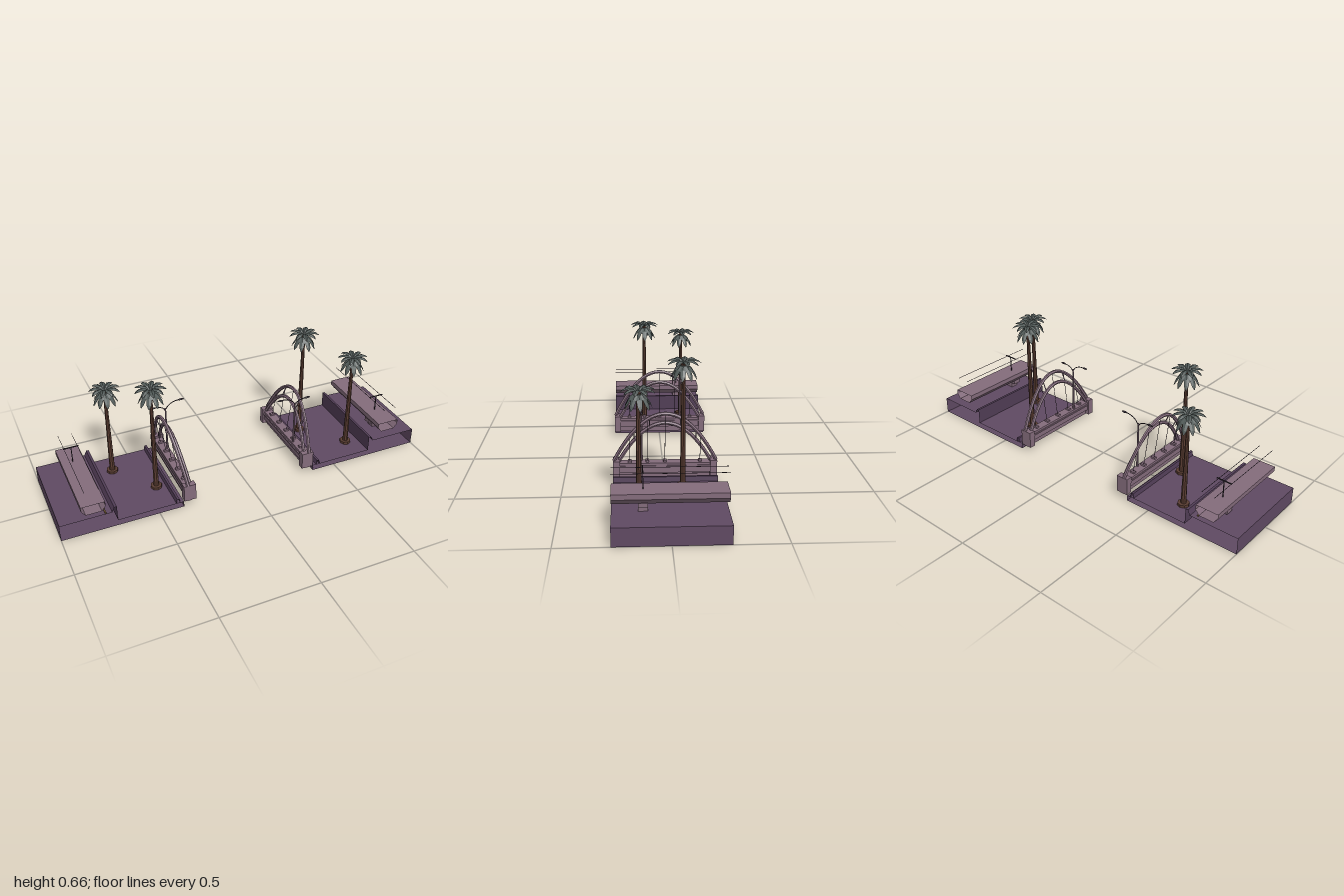
import * as THREE from 'three';

const mat = (name, color, extra = {}) => {
  const m = new THREE.MeshStandardMaterial({ color, ...extra });
  m.name = name;
  return m;
};

export function createModel() {
  const root = new THREE.Group();
  root.name = 'bridgeBanks';
  const D = { side: THREE.DoubleSide, flatShading: true };
  const ground = mat('purple ground', 0x604a63, D);
  const wallMat = mat('dark wall', 0x513d56, D);
  const concrete = mat('mauve concrete', 0x846c7c, D);
  const bark = mat('palm bark', 0x5a3d32, { flatShading: true });
  const leaf = mat('palm leaf', 0x505957, D);
  const metal = mat('dark metal', 0x352c36);
  const ochre = mat('ochre trim', 0x7d6238);
  const L = 0.51;

  const add = (parent, name, geo, material, x = 0, y = 0, z = 0) => {
    const m = new THREE.Mesh(geo, material);
    m.name = name;
    m.position.set(x, y, z);
    parent.add(m);
    return m;
  };
  const box = (p, name, material, x0, x1, y0, y1, z0, z1) =>
    add(p, name, new THREE.BoxGeometry(Math.abs(x1 - x0), y1 - y0, z1 - z0), material,
      (x0 + x1) / 2, (y0 + y1) / 2, (z0 + z1) / 2);

  // Sheet swept along z from an x-y profile, open at both ends
  const sheet = (pts) => {
    const v = [];
    for (let i = 0; i + 1 < pts.length; i++) {
      const [a, b] = [pts[i], pts[i + 1]];
      v.push(...a, L / 2, ...b, L / 2, ...b, -L / 2, ...a, L / 2, ...b, -L / 2, ...a, -L / 2);
    }
    const g = new THREE.BufferGeometry();
    g.setAttribute('position', new THREE.Float32BufferAttribute(v, 3));
    g.computeVertexNormals();
    return g;
  };
  const tube = (pts, r, n = 24, sides = 6) =>
    new THREE.TubeGeometry(new THREE.CatmullRomCurve3(pts.map((p) => new THREE.Vector3(...p))), n, r, sides);

  // Folded palm frond following a radial path of [distance, height, half width]
  const frond = (path) => {
    const v = [];
    const corner = ([d, h, w], s) => [d, h - (s ? w * 0.45 : 0), s * w];
    for (let i = 0; i + 1 < path.length; i++)
      for (const s of [-1, 1]) {
        const a = corner(path[i], 0), b = corner(path[i + 1], 0);
        const c = corner(path[i + 1], s), d = corner(path[i], s);
        const q = s > 0 ? [a, d, c, a, c, b] : [a, b, c, a, c, d];
        v.push(...q.flat());
      }
    const g = new THREE.BufferGeometry();
    g.setAttribute('position', new THREE.Float32BufferAttribute(v, 3));
    g.computeVertexNormals();
    return g;
  };
  const upper = frond([[0, 0.005, 0.003], [0.022, 0.023, 0.011], [0.05, 0.027, 0.014], [0.068, 0.019, 0.009], [0.08, 0.008, 0.001]]);
  const lower = frond([[0, 0, 0.003], [0.02, 0.003, 0.01], [0.04, -0.014, 0.014], [0.055, -0.04, 0.011], [0.063, -0.062, 0.002]]);

  const palm = (x, z, crown, turn) => {
    const g = new THREE.Group();
    g.name = 'palmTree';
    g.position.set(x, 0, z);
    add(g, 'planter', new THREE.CylinderGeometry(0.03, 0.03, 0.014, 8), bark, 0, 0.037, 0);
    const h = crown - 0.04;
    add(g, 'trunk', new THREE.CylinderGeometry(0.008, 0.0145, h, 8), bark, 0, 0.04 + h / 2, 0);
    add(g, 'crownBase', new THREE.CylinderGeometry(0.012, 0.008, 0.03, 8), bark, 0, crown - 0.012, 0);
    for (let i = 0; i < 9; i++) {
      const a = turn + (i * Math.PI * 2) / 9;
      add(g, 'upperFrond', upper, leaf, 0, crown, 0).rotation.y = a;
      add(g, 'lowerFrond', lower, leaf, 0, crown - 0.003, 0).rotation.y = a + Math.PI / 9;
    }
    root.add(g);
  };
  palm(-0.625, -0.138, 0.524, 0.1);
  palm(-0.457, 0.083, 0.607, 0.4);
  palm(0.462, -0.08, 0.632, 0.2);
  palm(0.642, 0.132, 0.553, 0.5);

  for (const s of [1, -1]) {
    const side = new THREE.Group();
    side.name = s > 0 ? 'leftBank' : 'rightBank';
    root.add(side);
    const P = (pts) => sheet(pts.map(([x, y]) => [s * x, y]));
    const dz = s > 0 ? 0.117 : -0.122; // post and pier position
    const lz = s * 0.114; // lamp position
    const drop = s > 0 ? 0 : -0.021; // one viaduct sits lower

    // Ground shell with raised outer bank
    add(side, 'groundShell', P([[0.37, 0.03], [0.37, 0], [1, 0], [1, 0.088], [0.74, 0.088]]), ground);
    add(side, 'riverFloor', P([[0.37, 0.03], [0.715, 0.03]]), ground);
    add(side, 'bankWall', P([[0.715, 0.03], [0.715, 0.115], [0.728, 0.115], [0.74, 0.088]]), wallMat);
    add(side, 'lowBarrier', P([[0.39, 0.03], [0.394, 0.055], [0.406, 0.055], [0.41, 0.03]]), wallMat);
    if (s < 0)
      for (let i = 0; i < 14; i++) {
        const z = -0.235 + i * 0.0355;
        box(side, 'trimDash', ochre, -0.775, -0.768, 0.0885, 0.095, z, z + 0.025);
      }

    // Viaduct girder, pier and overhead line
    const cx = 0.829;
    add(side, 'viaductGirder', P([[-0.04, 0.134], [-0.06, 0.16], [-0.06, 0.185], [0.06, 0.185],
      [0.06, 0.16], [0.04, 0.134], [-0.04, 0.134]].map(([x, y]) => [cx + x, y + drop])), concrete);
    box(side, 'pierCap', concrete, s * (cx - 0.043), s * (cx + 0.043), 0.115 + drop, 0.136 + drop, dz - 0.021, dz + 0.021);
    box(side, 'pierStem', concrete, s * (cx - 0.02), s * (cx + 0.02), 0.088, 0.117 + Math.min(drop, 0), dz - 0.021, dz + 0.021);
    box(side, 'linePost', metal, s * (cx - 0.002), s * (cx + 0.002), 0.184 + drop, 0.275 + drop, dz - 0.002, dz + 0.002);
    box(side, 'lineCrossbar', metal, s * (cx - 0.04), s * (cx + 0.04), 0.272 + drop, 0.277 + drop, dz - 0.002, dz + 0.002);
    for (const o of [-0.035, 0.035])
      box(side, 'overheadWire', metal, s * (cx + o - 0.0008), s * (cx + o + 0.0008), 0.267 + drop, 0.269 + drop, -L / 2, L / 2);

    // Bridge edge beam with end blocks
    box(side, 'edgeBeam', concrete, s * 0.312, s * 0.36, 0.058, 0.108, -L / 2, L / 2);
    box(side, 'lowerBeam', concrete, s * 0.325, s * 0.35, 0.028, 0.058, -L / 2, L / 2);
    box(side, 'beamLedge', concrete, s * 0.306, s * 0.364, 0.088, 0.096, -L / 2, L / 2);
    for (const e of [-1, 1])
      box(side, 'endBlock', concrete, s * 0.303, s * 0.367, 0.03, 0.12, e * 0.238 - 0.017, e * 0.238 + 0.017);

    // Two arches leaning away from the water
    const archY = (z, apex) => apex - 3.97 * z * z;
    for (const [name, apex, span, foot, lean] of [['tallArch', 0.367, 0.25, 0.344, 0.028], ['lowArch', 0.312, 0.224, 0.326, 0.02]]) {
      const pts = [];
      for (let i = 0; i <= 16; i++) {
        const t = i / 8 - 1;
        pts.push([s * (foot + lean * (1 - t * t)), archY(t * span, apex), t * span]);
      }
      add(side, name, tube(pts, 0.0095, 32), concrete);
    }
    for (let i = -2; i <= 2; i++) {
      const z = i * 0.086, t = z / 0.25;
      add(side, 'hanger', tube([[s * 0.338, 0.1, z], [s * (0.344 + 0.028 * (1 - t * t)), archY(z, 0.367), z]], 0.0014, 1, 5), metal);
      box(side, 'hangerFoot', concrete, s * 0.325, s * 0.35, 0.108, 0.118, z - 0.008, z + 0.008);
    }
    // Cross ties between the arches
    for (const z of [-0.15, -0.075, 0.075, 0.15]) {
      const k = 1 - (z / 0.25) ** 2;
      add(side, 'archTie', tube([[s * (0.326 + 0.02 * k), archY(z, 0.312), z], [s * (0.344 + 0.028 * k), archY(z, 0.367), z]], 0.003, 1, 5), concrete);
    }

    // Street lamp with two arms
    add(side, 'lampPole', new THREE.CylinderGeometry(0.004, 0.006, 0.25, 8), concrete, s * 0.32, 0.235, lz);
    add(side, 'lampArm', tube([[s * 0.32, 0.35, lz], [s * 0.303, 0.373, lz], [s * 0.275, 0.389, lz], [s * 0.24, 0.394, lz]], 0.0022, 12), metal);
    add(side, 'lampArm', tube([[s * 0.32, 0.345, lz], [s * 0.333, 0.363, lz], [s * 0.355, 0.373, lz], [s * 0.385, 0.376, lz]], 0.0022, 12), metal);
    for (const [x, y] of [[0.233, 0.393], [0.39, 0.376]])
      add(side, 'lampHead', new THREE.SphereGeometry(1, 10, 6), metal, s * x, y, lz).scale.set(0.018, 0.004, 0.007);
  }
  return root;
}
